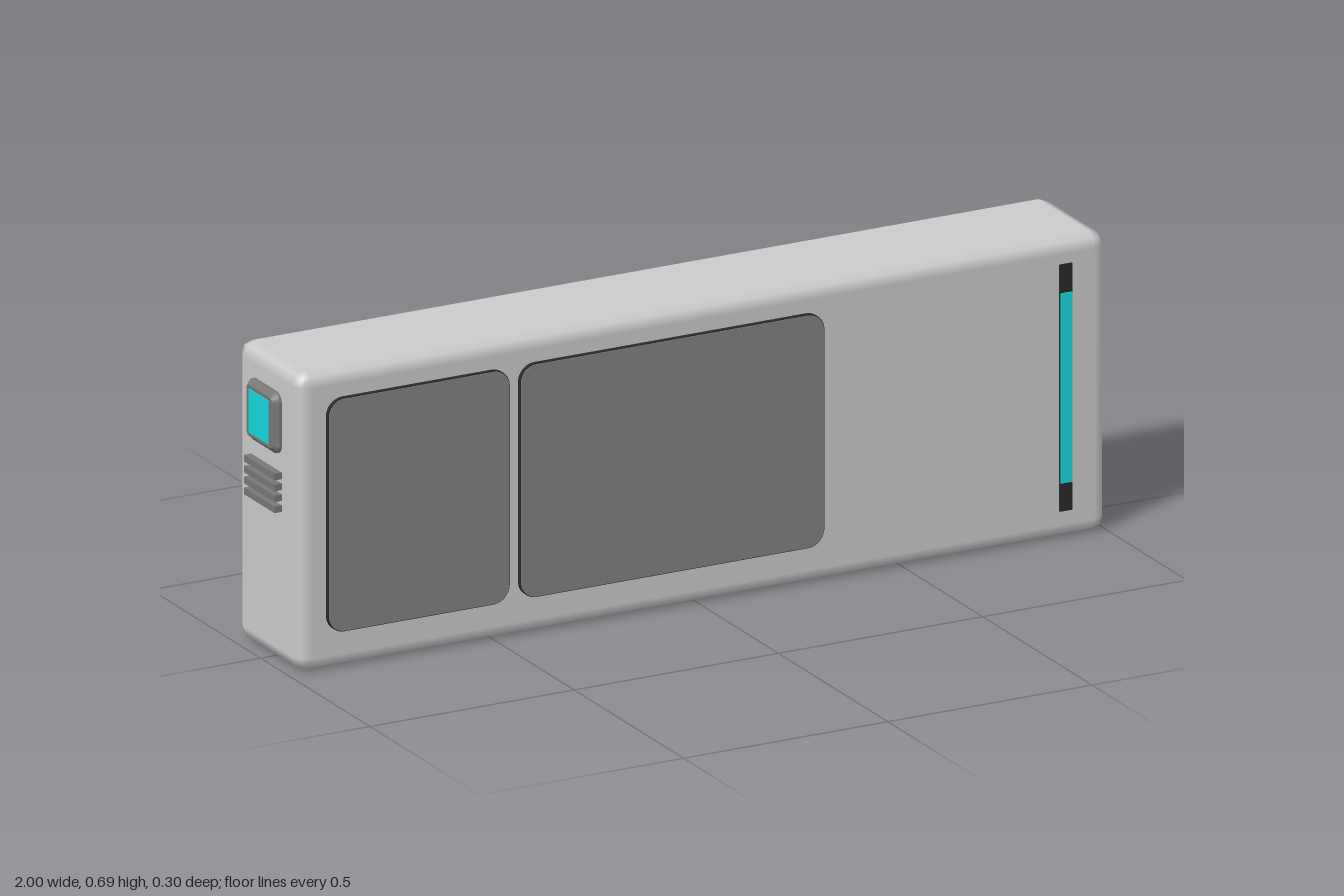
import * as THREE from 'three';
import { RoundedBoxGeometry } from 'three/addons/geometries/RoundedBoxGeometry.js';

const grey = new THREE.MeshStandardMaterial({ color: 0xcccccc });
const panelGrey = new THREE.MeshStandardMaterial({ color: 0x828282 });
const dark = new THREE.MeshStandardMaterial({ color: 0x2a2a2a });
const trim = new THREE.MeshStandardMaterial({ color: 0x777777 });
const cyan = new THREE.MeshStandardMaterial({ color: 0x18d8e0 });

function add(parent, name, geometry, material, x = 0, y = 0, z = 0) {
  const mesh = new THREE.Mesh(geometry, material);
  mesh.name = name;
  mesh.position.set(x, y, z);
  parent.add(mesh);
  return mesh;
}

// Rectangle with rounded corners, centred on the origin
function roundedRect(w, h, r) {
  const s = new THREE.Shape();
  const x = w / 2 - r, y = h / 2 - r;
  s.absarc(x, y, r, 0, Math.PI / 2);
  s.absarc(-x, y, r, Math.PI / 2, Math.PI);
  s.absarc(-x, -y, r, Math.PI, Math.PI * 1.5);
  s.absarc(x, -y, r, Math.PI * 1.5, Math.PI * 2);
  s.closePath();
  return s;
}

function plate(w, h, r, depth) {
  return new THREE.ExtrudeGeometry(roundedRect(w, h, r), { depth, bevelEnabled: false, curveSegments: 6 });
}

export function createModel() {
  const model = new THREE.Group();
  model.name = 'wallUnit';

  // Casing with chamfer-like rounded edges
  add(model, 'casing', new RoundedBoxGeometry(1.98, 0.685, 0.29, 1, 0.033), grey, 0.01, 0.3425, -0.005);

  // Two front panels: dark rim with a lighter face
  for (const [name, x0, x1] of [['smallPanel', -0.915, -0.47], ['largePanel', -0.445, 0.3]]) {
    const panel = new THREE.Group();
    panel.name = name;
    panel.position.set((x0 + x1) / 2, 0.355, 0.135);
    const w = x1 - x0;
    add(panel, name + 'Rim', plate(w, 0.535, 0.04, 0.015), dark);
    add(panel, name + 'Face', plate(w - 0.004, 0.531, 0.038, 0.002), panelGrey, 0, 0, 0.015);
    model.add(panel);
  }

  // Light strip in a dark channel
  add(model, 'lightChannel', new THREE.BoxGeometry(0.03, 0.565, 0.01), dark, 0.895, 0.3475, 0.139);
  add(model, 'lightStrip', new THREE.BoxGeometry(0.027, 0.435, 0.01), cyan, 0.895, 0.3475, 0.142);

  // Controls on the right-hand end, built facing +z and turned to -x
  const end = new THREE.Group();
  end.name = 'endControls';
  end.position.set(-0.98, 0, -0.01);
  end.rotation.y = -Math.PI / 2;
  model.add(end);

  // Button bezel with a bevelled edge
  const bezel = new THREE.ExtrudeGeometry(roundedRect(0.116, 0.116, 0.01), {
    depth: 0.006, bevelThickness: 0.012, bevelSize: 0.012, bevelSegments: 1, curveSegments: 3,
  });
  add(end, 'buttonBezel', bezel, trim, 0, 0.55, 0);
  add(end, 'button', new THREE.BoxGeometry(0.09, 0.1, 0.008), cyan, 0, 0.55, 0.016);

  // Vent slats
  for (let i = 0; i < 4; i++) {
    add(end, 'ventSlat', new THREE.BoxGeometry(0.14, 0.015, 0.024), trim, 0, 0.358 + i * 0.025, 0.006);
  }
  return model;
}
